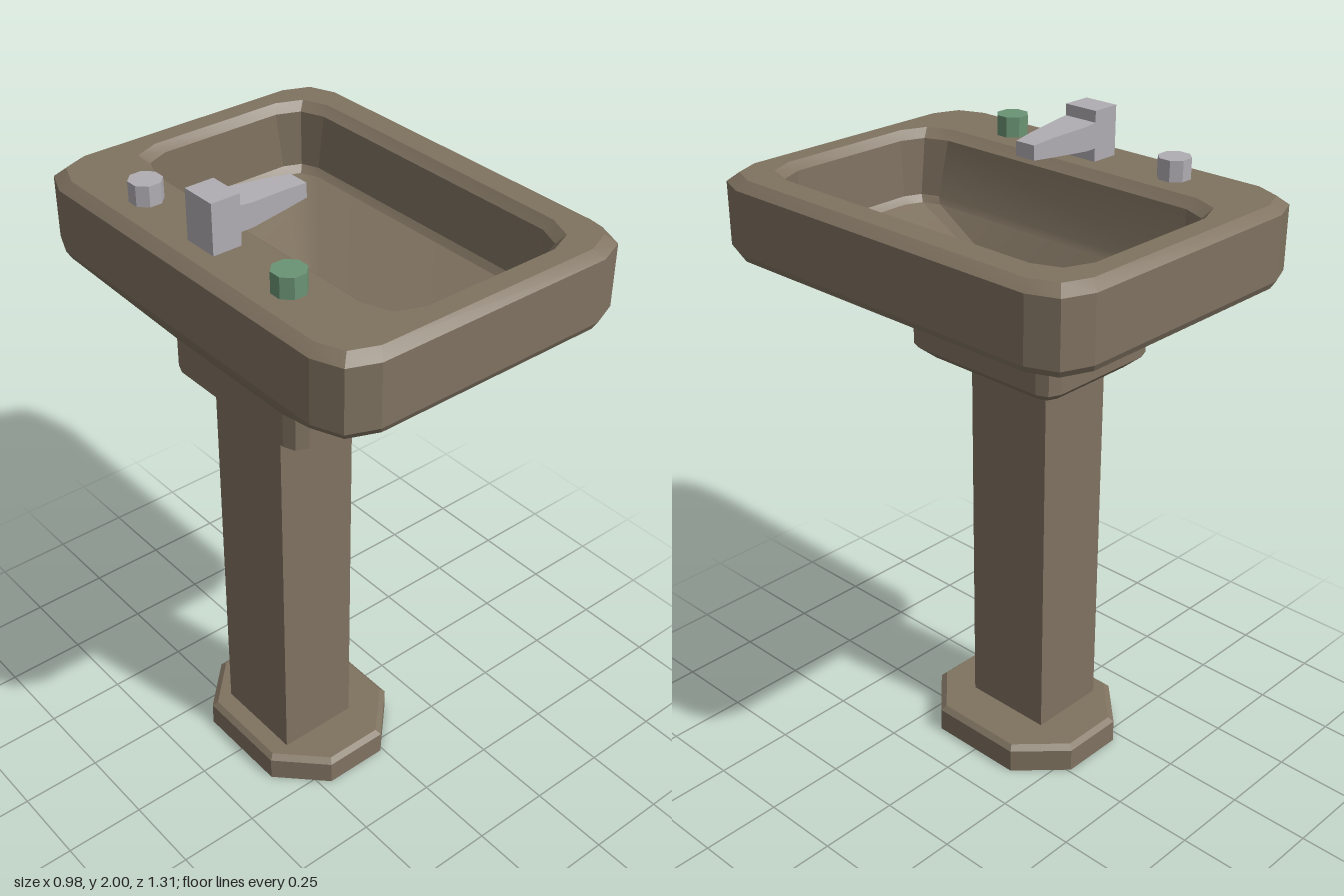
import * as THREE from 'three';
import { toCreasedNormals } from 'three/addons/utils/BufferGeometryUtils.js';

// Horizontal 12-point ring: rectangle with cut corners.
// k = 0.29 gives rounded corners, k = 0.5 straight chamfers.
function ring(y, x0, x1, z, cut = 0, k = 0.29) {
  const cx = (x0 + x1) / 2, w = (x1 - x0) / 2;
  const corner = [[w, z - cut], [w - cut * k, z - cut * k], [w - cut, z]];
  const pts = [];
  for (const [sx, sz] of [[1, 1], [-1, 1], [-1, -1], [1, -1]]) {
    const c = sx * sz > 0 ? corner : [...corner].reverse();
    for (const [px, pz] of c) pts.push(new THREE.Vector3(cx + sx * px, y, sz * pz));
  }
  return pts;
}

// Skin a list of rings, each with the same number of points
function loft(rings, crease = 0.35) {
  const pos = [];
  const tri = (a, b, c) => {
    const area = b.clone().sub(a).cross(c.clone().sub(a)).length();
    if (area > 1e-8) pos.push(...a, ...b, ...c);
  };
  for (let r = 0; r < rings.length - 1; r++) {
    const a = rings[r], b = rings[r + 1], n = a.length;
    for (let i = 0; i < n; i++) {
      const j = (i + 1) % n;
      tri(a[i], b[i], b[j]);
      tri(a[i], b[j], a[j]);
    }
  }
  const g = new THREE.BufferGeometry();
  g.setAttribute('position', new THREE.Float32BufferAttribute(pos, 3));
  return toCreasedNormals(g, crease);
}

export function createModel() {
  const group = new THREE.Group();
  const ceramic = new THREE.MeshStandardMaterial({ color: 0x7f7260, side: THREE.DoubleSide });
  ceramic.name = 'brownCeramic';
  const metal = new THREE.MeshStandardMaterial({ color: 0xb0adb3 });
  metal.name = 'greyMetal';
  const green = new THREE.MeshStandardMaterial({ color: 0x6a9474 });
  green.name = 'greenKnob';

  const add = (name, geometry, material, x = 0, y = 0, z = 0) => {
    const m = new THREE.Mesh(geometry, material);
    m.name = name;
    m.position.set(x, y, z);
    group.add(m);
    return m;
  };

  // Hollow foot, open underneath, with an octagonal outline
  add('foot', loft([
    ring(0, -0.35, 0.125, 0.29, 0.135, 0.5),
    ring(0.075, -0.35, 0.125, 0.29, 0.135, 0.5),
    ring(0.09, -0.335, 0.11, 0.275, 0.13, 0.5),
    ring(0.09, -0.28, -0.025, 0.147),
  ]), ceramic);

  // Square hollow column
  add('pedestal', loft([
    ring(0.09, -0.28, -0.025, 0.147),
    ring(1.31, -0.28, -0.025, 0.147),
  ]), ceramic);

  // Collar, tapered bowl, rim and hollow inside in one skin
  add('basin', loft([
    ring(1.3, -0.11, -0.11, 0),
    ring(1.3, -0.295, 0.07, 0.24, 0.04),
    ring(1.335, -0.335, 0.11, 0.28, 0.05),
    ring(1.44, -0.335, 0.11, 0.28, 0.05),
    ring(1.625, -0.48, 0.48, 0.645, 0.12),
    ring(1.645, -0.49, 0.49, 0.655, 0.12),
    ring(1.83, -0.49, 0.49, 0.655, 0.12),
    ring(1.855, -0.46, 0.46, 0.627, 0.11),
    ring(1.855, -0.265, 0.385, 0.567, 0.11),
    ring(1.83, -0.235, 0.36, 0.547, 0.1),
    ring(1.66, -0.21, 0.355, 0.54, 0.075),
    ring(1.64, -0.2, 0.34, 0.525, 0.075),
    ring(1.48, -0.1, -0.02, 0.04, 0.03),
    ring(1.48, -0.06, -0.06, 0),
  ]), ceramic);

  // Drain cover at the lowest point of the bowl
  add('drain', new THREE.CylinderGeometry(0.06, 0.06, 0.03, 10).toNonIndexed(), metal, -0.06, 1.49, 0);

  // Tap block and tapering spout
  add('tapBody', new THREE.BoxGeometry(0.088, 0.145, 0.11), metal, -0.362, 1.9275, 0);
  const section = (x, y0, y1, z) => [[y0, -z], [y0, z], [y1, z], [y1, -z]]
    .map(([y, pz]) => new THREE.Vector3(x, y, pz));
  const middle = (x, y) => Array.from({ length: 4 }, () => new THREE.Vector3(x, y, 0));
  add('spout', loft([
    middle(-0.33, 1.93),
    section(-0.33, 1.893, 1.968, 0.055),
    section(-0.28, 1.893, 1.963, 0.055),
    section(-0.16, 1.9, 1.955, 0.041),
    section(-0.09, 1.905, 1.947, 0.033),
    middle(-0.09, 1.925),
  ].reverse().map((r) => r.reverse()), 0.2), metal);

  // Octagonal knobs on both sides of the tap
  const knob = toCreasedNormals(
    new THREE.CylinderGeometry(0.048, 0.048, 0.062, 8).rotateY(Math.PI / 8), 0.5);
  add('greenKnob', knob, green, -0.362, 1.884, 0.303);
  add('greyKnob', knob, metal, -0.362, 1.884, -0.303);

  return group;
}
